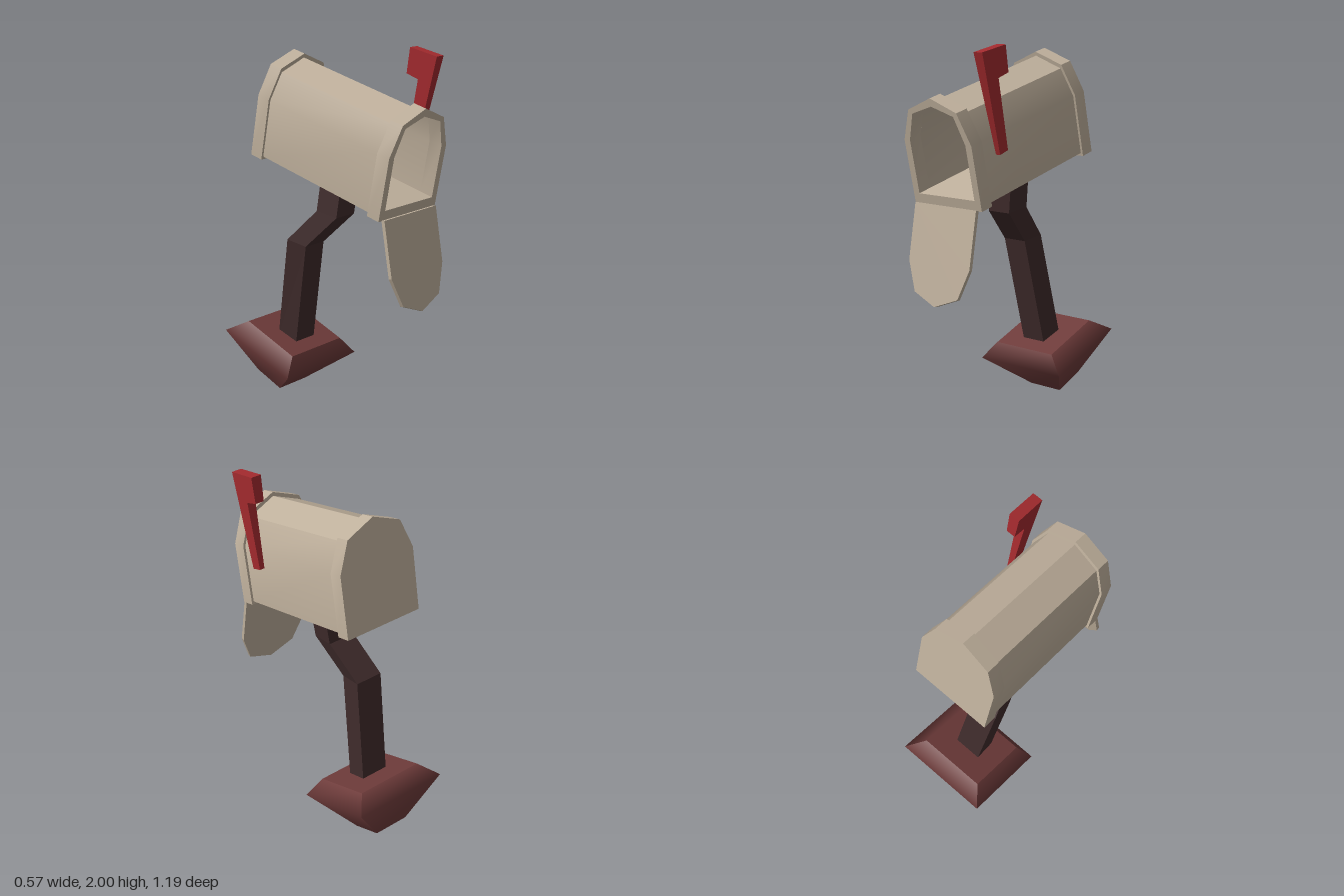
import * as THREE from 'three';
import { toCreasedNormals } from 'three/addons/utils/BufferGeometryUtils.js';

const V = (x, y, z) => new THREE.Vector3(x, y, z);
const paint = (color) => new THREE.MeshStandardMaterial({ color });
const tan = paint(0xbfb09c), darkWood = paint(0x3f2b2b), stone = paint(0x6e3b3a), red = paint(0xa32a2e);

function add(group, name, geometry, material) {
  const mesh = new THREE.Mesh(geometry, material);
  mesh.name = name;
  group.add(mesh);
}

const extrude = (shape, depth) => new THREE.ExtrudeGeometry(shape, { depth, bevelEnabled: false });

// Arched outline: flat floor, upright sides, shoulders and a ridge, leaning very slightly
function arch(half, floor, sideTop, shoulder, shoulderY, ridge) {
  return [[-half, floor], [half, floor], [half, sideTop], [shoulder, shoulderY],
    [0, ridge], [-shoulder, shoulderY], [-half, sideTop]]
    .map(([x, y]) => new THREE.Vector2(x + 0.016 - 0.018 * y, y));
}

// Joins four-cornered rings from bottom to top; each side is its own strip, so corners stay sharp
function loft(rings, flat) {
  const pos = [], index = [];
  const push = (p) => pos.push(...p) / 3 - 1;
  for (let c = 0; c < 4; c++) {
    const ids = rings.map((r) => [push(r[c]), push(r[(c + 1) % 4])]);
    for (let i = 0; i + 1 < ids.length; i++) {
      const [a, b] = ids[i], [d, e] = ids[i + 1];
      index.push(a, b, e, a, e, d);
    }
  }
  for (const cap of [[...rings[0]].reverse(), rings[rings.length - 1]]) {
    const [a, b, c, d] = cap.map(push);
    index.push(a, b, c, a, c, d);
  }
  let geo = new THREE.BufferGeometry();
  geo.setAttribute('position', new THREE.Float32BufferAttribute(pos, 3));
  geo.setIndex(index);
  if (flat) geo = geo.toNonIndexed();
  geo.computeVertexNormals();
  return geo;
}

export function createModel() {
  const model = new THREE.Group();
  model.name = 'mailbox';

  // Tilted box: extruded from the rear end towards the front
  const box = new THREE.Group();
  box.name = 'box';
  model.add(box);
  const tilt = new THREE.Matrix4().makeBasis(V(1, 0, 0), V(0, 0.98, 0.204), V(0, -0.24, 0.968));
  tilt.setPosition(0, 1.392, -0.43);
  const rimOutline = arch(0.235, 0, 0.345, 0.168, 0.51, 0.578);
  const bodyOutline = arch(0.222, 0.016, 0.34, 0.16, 0.49, 0.556);
  const opening = arch(0.195, 0.055, 0.345, 0.143, 0.49, 0.535);
  const section = (name, outline, from, to, open) => {
    const shape = new THREE.Shape(outline);
    if (open) shape.holes.push(new THREE.Path(opening));
    const geo = extrude(shape, to - from).translate(0, 0, from).applyMatrix4(tilt);
    add(box, name, toCreasedNormals(geo, 0.6), tan);
  };
  section('rearCap', rimOutline, 0, 0.08, false);
  section('body', bodyOutline, 0.08, 0.86, true);
  section('frontRim', rimOutline, 0.86, 0.94, true);

  // Open door hanging from the front lip
  const door = extrude(new THREE.Shape([[-0.215, 0], [-0.215, -0.305], [-0.15, -0.465], [0, -0.525],
    [0.155, -0.465], [0.215, -0.305], [0.215, 0]].map(([x, y]) => new THREE.Vector2(x, y))), 0.02);
  const hang = new THREE.Matrix4().makeBasis(V(1, 0, 0), V(0, 0.985, -0.17), V(0, 0.17, 0.985));
  door.applyMatrix4(hang.setPosition(0.016, 1.17, 0.483));
  add(model, 'door', door, tan);

  // Signal flag, tapering in thickness towards its foot
  const flag = extrude(new THREE.Shape([[0.355, 1.445], [0.295, 1.465], [0.375, 1.835], [0.3, 1.86],
    [0.325, 2], [0.5, 1.965]].map(([z, y]) => new THREE.Vector2(-z, y))), 1);
  flag.applyMatrix4(new THREE.Matrix4().makeBasis(V(0, 0, -1), V(0, 1, 0), V(1, 0, 0)));
  const p = flag.attributes.position;
  for (let i = 0; i < p.count; i++) {
    const t = (p.getY(i) - 1.445) / 0.555;
    p.setX(i, 0.25 - 0.005 * t + (p.getX(i) - 0.5) * (0.028 + 0.032 * t));
  }
  flag.computeVertexNormals();
  add(model, 'flag', flag, red);

  // Crooked post: centre x, front edge (z, y), back edge (z, y)
  const post = [
    [0, -0.245, 0.27, -0.37, 0.32],
    [-0.045, -0.12, 0.9, -0.25, 0.92],
    [0, 0.065, 1.085, -0.07, 1.105],
    [0.03, 0.08, 1.31, -0.055, 1.34],
  ].map(([x, zf, yf, zb, yb]) => [[x - 0.073, yf, zf], [x + 0.073, yf, zf], [x + 0.082, yb, zb], [x - 0.082, yb, zb]]);
  add(model, 'post', loft(post, true), darkWood);

  // Tipped footing: half width, front edge (z, y), back edge (z, y)
  const base = [
    [0.105, -0.345, 0, -0.52, 0.07],
    [0.285, -0.11, 0.172, -0.597, 0.347],
    [0.2, -0.15, 0.273, -0.495, 0.402],
  ].map(([w, zf, yf, zb, yb]) => [[-w, yf, zf], [w, yf, zf], [w, yb, zb], [-w, yb, zb]]);
  add(model, 'base', loft(base, false), stone);

  return model;
}
